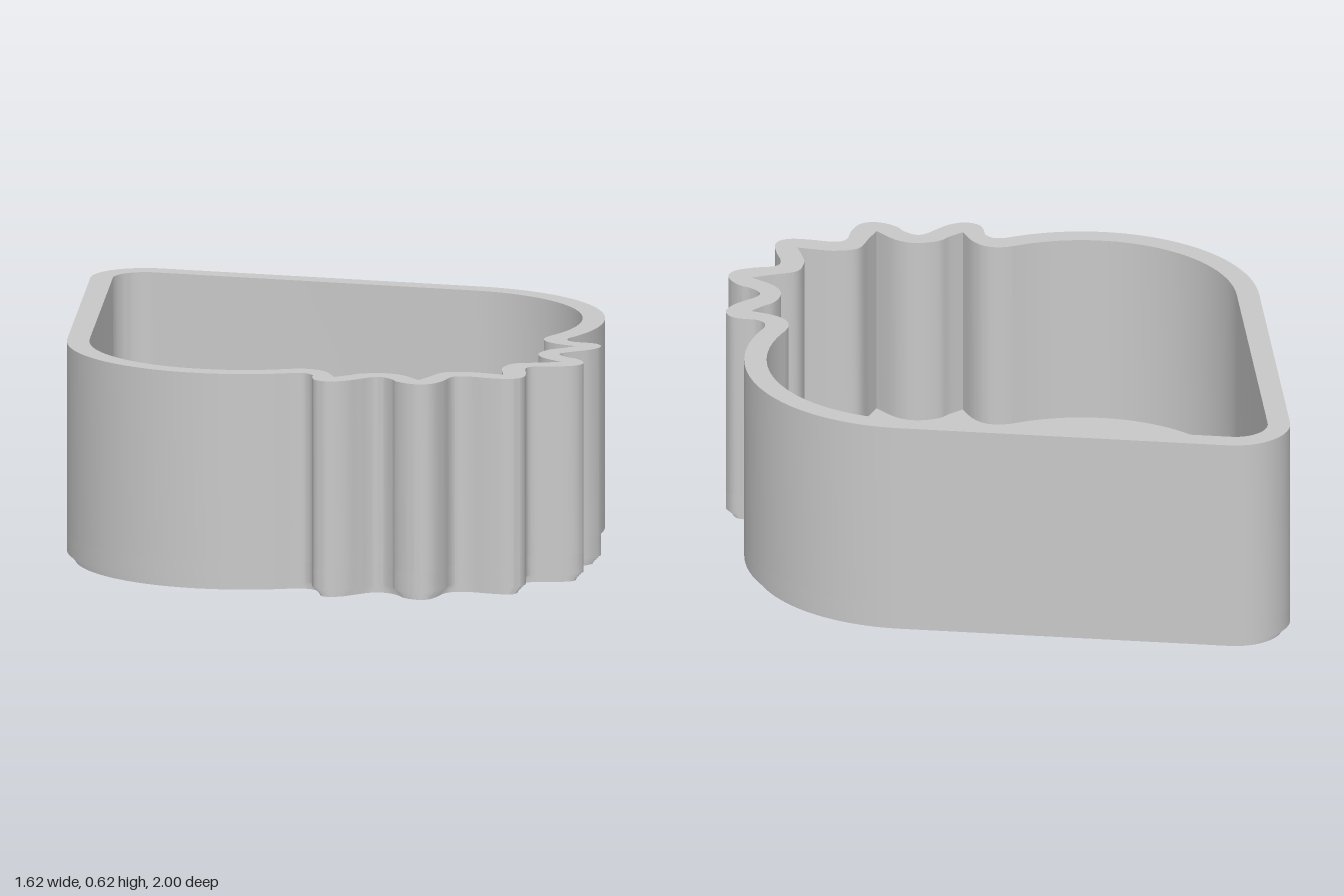
import * as THREE from 'three';
import { toCreasedNormals } from 'three/addons/utils/BufferGeometryUtils.js';

const HEIGHT = 0.62, FLOOR = 0.08, CHAMFER = 0.024, WALL = 0.063;
const V = (x, z) => new THREE.Vector2(x, -z);

// Smooth run through [x, z] points, without its first point
const run = (pts) =>
  new THREE.SplineCurve(pts.map(([x, z]) => V(x, z))).getPoints(pts.length * 5).slice(1);

// Arc swept from the back (angle 0) towards the side
function arc(cx, cz, r, from, to, steps) {
  return Array.from({ length: steps + 1 }, (_, i) => {
    const a = from + ((to - from) * i) / steps;
    return V(cx + r * Math.sin(a), cz - r * Math.cos(a));
  });
}

// Closed outline: rounded tip, straight flank, round cheek, scalloped front; mirrored in x
function outline(inset, scallops) {
  const half = [
    ...arc(0, -0.846, 0.154 - inset, 0, 0.895, 10),
    ...arc(0.308, 0.1, 0.502 - inset, 0.895, 2.813, 32),
    ...scallops.flatMap(run),
  ];
  const mirrored = half.slice(1, -1).reverse().map((p) => new THREE.Vector2(-p.x, p.y));
  return [...half, ...mirrored];
}

// Move every outline point inwards along its normal
function shrink(pts, t) {
  const n = pts.length;
  return pts.map((p, i) => {
    const d = pts[(i + 1) % n].clone().sub(pts[(i + n - 1) % n]).normalize();
    return new THREE.Vector2(p.x + d.y * t, p.y - d.x * t);
  });
}

// Upright slab between two heights; the outline is turned counter-clockwise so holes face inwards
function slab(name, pts, holes, y0, y1, material) {
  const shape = new THREE.Shape([...pts].reverse());
  shape.holes = holes.map((h) => new THREE.Path(h));
  const geo = new THREE.ExtrudeGeometry(shape, { depth: y1 - y0, bevelEnabled: false, curveSegments: 1 });
  geo.rotateX(-Math.PI / 2);
  const mesh = new THREE.Mesh(toCreasedNormals(geo, 0.6), material);
  mesh.position.y = y0;
  mesh.name = name;
  return mesh;
}

const circle = (x, z, r, n) => arc(x, z, r, 0, 2 * Math.PI, n).slice(0, -1);

// Oval with its long axis pointing outwards, square to the flank on side s
const oval = (x, z, s) =>
  circle(0, 0, 1, 24).map((p) =>
    V(x + 0.044 * p.x * s * 0.78 + 0.034 * p.y * s * 0.626, z - 0.044 * p.x * 0.626 + 0.034 * p.y * 0.78));

export function createModel() {
  const group = new THREE.Group();
  group.name = 'scallopedTray';
  const grey = new THREE.MeshStandardMaterial({ color: 0xc8c8c8 });
  grey.name = 'grey';

  const outer = outline(0, [[
    [0.47, 0.575], [0.446, 0.598], [0.446, 0.632], [0.466, 0.66], [0.481, 0.695], [0.466, 0.735],
    [0.42, 0.755], [0.37, 0.754], [0.325, 0.753], [0.302, 0.77], [0.298, 0.81], [0.306, 0.845],
    [0.298, 0.89], [0.275, 0.922], [0.238, 0.93], [0.19, 0.91], [0.15, 0.882], [0.122, 0.877],
    [0.095, 0.9], [0.07, 0.94], [0.04, 0.98], [0.018, 0.996], [0, 1],
  ]]);
  const inner = outline(WALL, [
    [[0.448, 0.515], [0.41, 0.538], [0.387, 0.575], [0.388, 0.625], [0.412, 0.688]],
    [[0.412, 0.688], [0.365, 0.691], [0.318, 0.69], [0.262, 0.723], [0.238, 0.78], [0.243, 0.862]],
    [[0.243, 0.862], [0.19, 0.838], [0.12, 0.807], [0.062, 0.838], [0.03, 0.88], [0, 0.93]],
  ]);

  // Dimples sunk into the underside
  const dimples = [circle(0, -0.495, 0.038, 24)];
  for (const [x, z] of [[0.63, 0.285], [0.705, -0.01], [0.55, -0.22], [0.37, -0.515], [0.167, -0.765]])
    for (const s of [1, -1]) dimples.push(oval(s * x, z, s));

  // Stepped chamfer around the foot
  const insets = [0.022, 0.018, 0.013, 0.007];
  const step = CHAMFER / insets.length;
  insets.forEach((t, i) =>
    group.add(slab('footStep' + (i + 1), shrink(outer, t), dimples, i * step, (i + 1) * step, grey)));

  // Floor and surrounding wall
  group.add(slab('floor', outer, [], CHAMFER, FLOOR, grey));
  group.add(slab('wall', outer, [inner], FLOOR, HEIGHT, grey));

  // Central post with a cross-shaped socket
  const a = 0.088, b = 0.028, cz = 0.015;
  const cross = [
    [b, a], [b, b], [a, b], [a, -b], [b, -b], [b, -a],
    [-b, -a], [-b, -b], [-a, -b], [-a, b], [-b, b], [-b, a],
  ].map(([x, z]) => V(x, z + cz));
  group.add(slab('socketPost', circle(0, cz, 0.115, 48), [cross], FLOOR, 0.285, grey));

  return group;
}
